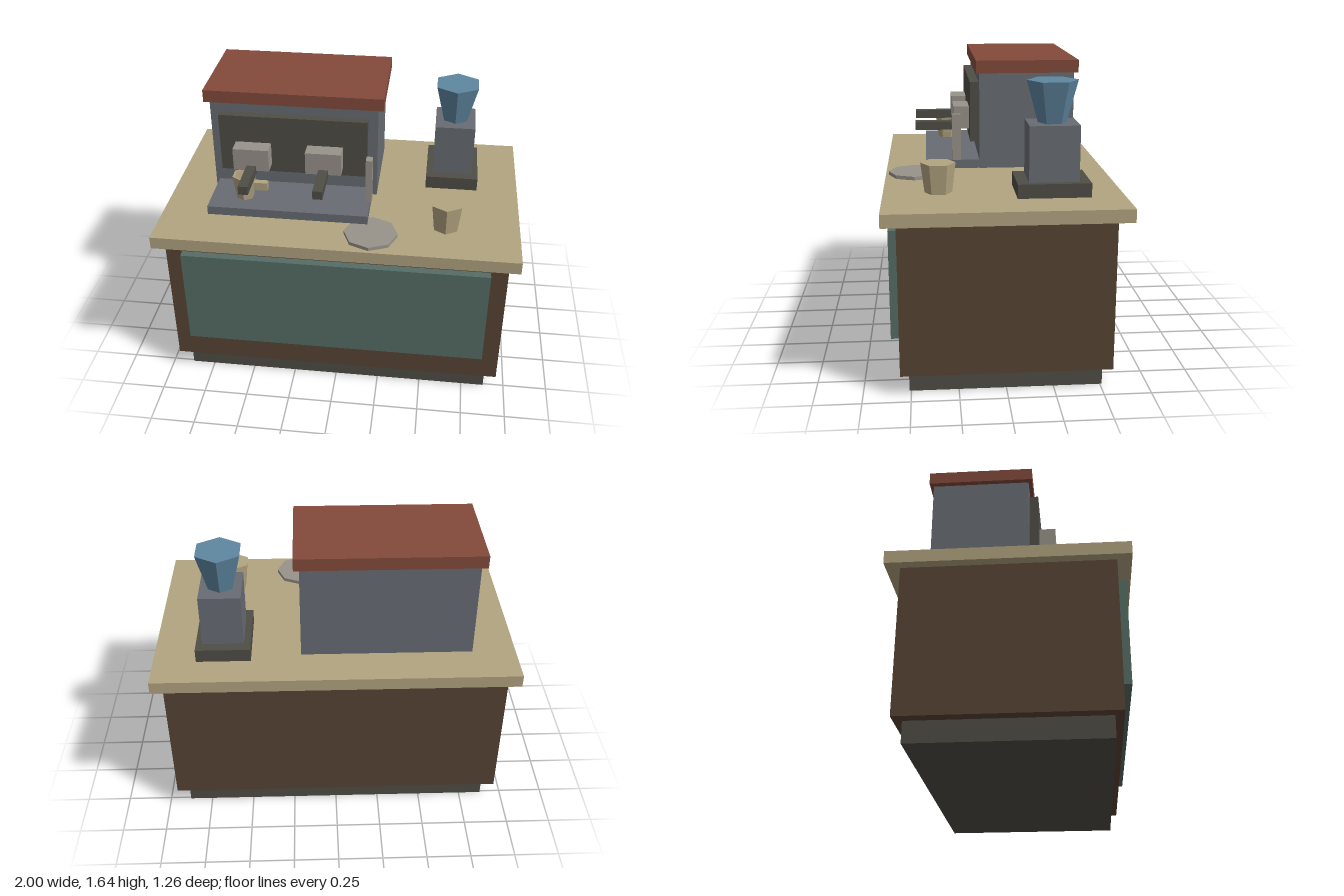
import * as THREE from 'three';

const mat = (color, side = THREE.FrontSide) =>
  new THREE.MeshStandardMaterial({ color, flatShading: true, side });

const M = {
  dark: mat(0x4e4d46),
  wood: mat(0x584434),
  top: mat(0xb2a480),
  teal: mat(0x566d66),
  metal: mat(0x686c73),
  roof: mat(0x834a3b),
  glass: mat(0x5f87a0),
  steel: mat(0x98928a),
  cup: mat(0xb2a480, THREE.DoubleSide),
};

// Box given by its extents along x, y and z
function box(name, material, [x0, x1], [y0, y1], [z0, z1]) {
  const mesh = new THREE.Mesh(new THREE.BoxGeometry(x1 - x0, y1 - y0, z1 - z0), material);
  mesh.position.set((x0 + x1) / 2, (y0 + y1) / 2, (z0 + z1) / 2);
  mesh.name = name;
  return mesh;
}

// Tapered prism standing between y0 and y1
function prism(name, material, sides, rTop, rBottom, x, [y0, y1], z) {
  const mesh = new THREE.Mesh(new THREE.CylinderGeometry(rTop, rBottom, y1 - y0, sides), material);
  mesh.position.set(x, (y0 + y1) / 2, z);
  mesh.name = name;
  return mesh;
}

function group(name, ...parts) {
  const g = new THREE.Group();
  g.name = name;
  g.add(...parts);
  return g;
}

function createCounter() {
  return group('counter',
    box('plinth', M.dark, [-0.88, 0.88], [0, 0.115], [-0.51, 0.51]),
    box('cabinet', M.wood, [-0.945, 0.945], [0.115, 0.93], [-0.555, 0.555]),
    box('frontPanel', M.teal, [-0.85, 0.85], [0.285, 0.87], [0.55, 0.6]),
    box('countertop', M.top, [-1, 1], [0.93, 1], [-0.63, 0.63]));
}

function createMachine() {
  const g = group('coffeeMachine',
    box('machineBody', M.metal, [-0.75, 0.19], [1.03, 1.575], [-0.44, 0.095]),
    box('machineTop', M.roof, [-0.78, 0.22], [1.575, 1.645], [-0.46, 0.115]),
    box('facePlate', M.dark, [-0.695, 0.135], [1.175, 1.515], [0.09, 0.145]),
    box('dripTray', M.metal, [-0.73, 0.165], [1.025, 1.075], [0.09, 0.4]),
    box('steamWand', M.steel, [0.138, 0.174], [1.075, 1.338], [0.2, 0.25]));
  // Two brewing heads, each with a handle
  for (const x of [-0.505, -0.1]) {
    g.add(box('brewHead', M.steel, [x - 0.1, x + 0.1], [1.225, 1.355], [0.13, 0.235]));
    g.add(box('brewHandle', M.dark, [x - 0.027, x + 0.027], [1.205, 1.255], [0.21, 0.46]));
  }
  return g;
}

function createJug() {
  // Hollow six-sided jug: outer wall, rim, inner wall, floor
  const profile = [[0, 0], [0.05, 0], [0.069, 0.14], [0.058, 0.14], [0.042, 0.015], [0, 0.015]]
    .map(([r, y]) => new THREE.Vector2(r, y));
  const bowl = new THREE.Mesh(new THREE.LatheGeometry(profile, 6), M.cup);
  bowl.name = 'jugBowl';
  bowl.position.set(-0.54, 1.075, 0.265);
  return group('jug', bowl,
    box('jugHandle', M.top, [-0.49, -0.41], [1.125, 1.173], [0.245, 0.28]));
}

function createGrinder() {
  return group('grinder',
    box('grinderBase', M.dark, [0.465, 0.765], [1, 1.075], [-0.45, -0.065]),
    box('grinderBody', M.metal, [0.502, 0.73], [1.075, 1.37], [-0.39, -0.127]),
    prism('hopper', M.glass, 6, 0.135, 0.076, 0.615, [1.37, 1.59], -0.258));
}

export function createModel() {
  return group('coffeeStand',
    createCounter(),
    createMachine(),
    createJug(),
    createGrinder(),
    prism('cup', M.top, 6, 0.0925, 0.073, 0.594, [1, 1.16], 0.338),
    prism('plate', M.steel, 8, 0.148, 0.148, 0.189, [1, 1.02], 0.465));
}
